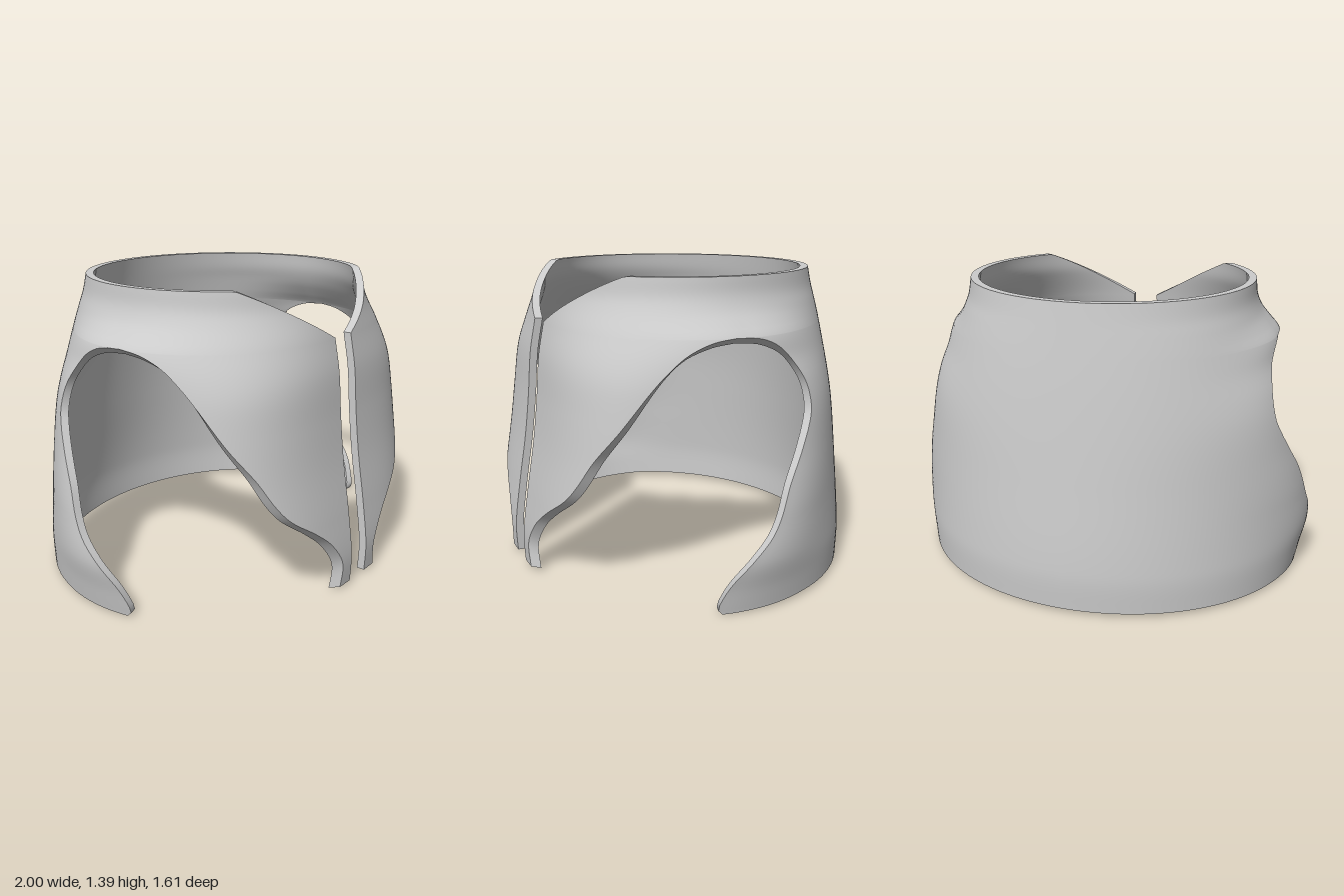
import * as THREE from 'three';
import { mergeGeometries, mergeVertices } from 'three/addons/utils/BufferGeometryUtils.js';

const THICK = 0.037, APEX = 1.15, TOP = 1.39;
const COLS = 40, ROWS = 56, UPPER = 16;

// Smooth curve through a table of [y, value]
function profile(table) {
  const slope = (i) => {
    const a = table[Math.max(i - 1, 0)], b = table[Math.min(i + 1, table.length - 1)];
    return (b[1] - a[1]) / (b[0] - a[0]);
  };
  return (y) => {
    let i = 0;
    while (i < table.length - 2 && y > table[i + 1][0]) i++;
    const [y0, v0] = table[i], [y1, v1] = table[i + 1], h = y1 - y0;
    const t = THREE.MathUtils.clamp((y - y0) / h, 0, 1), t2 = t * t, t3 = t2 * t;
    return v0 * (2 * t3 - 3 * t2 + 1) + v1 * (3 * t2 - 2 * t3)
      + h * (slope(i) * (t3 - 2 * t2 + t) + slope(i + 1) * (t3 - t2));
  };
}

// Horizontal sections by height: half width of the body, half width flared at the
// armhole, angle where that flare starts to fade, depth and roundness
const shoulder = [[1.05, 0.82], [1.15, 0.797], [1.19, 0.763], [1.245, 0.718], [1.31, 0.69], [1.39, 0.68]];
const frontShape = {
  width: profile([[0, 0.81], [0.6, 0.805], [0.9, 0.795], [1.05, 0.775], [1.15, 0.75], [1.25, 0.712], [1.31, 0.69], [1.39, 0.68]]),
  flare: profile([[0, 0.81], [0.6, 0.81], [0.9, 0.815], ...shoulder]),
  centre: () => Math.PI / 2 - 0.09,
  depth: profile([[0, 0.795], [0.15, 0.80], [0.35, 0.775], [0.6, 0.735], [0.8, 0.712], [1, 0.695], [1.15, 0.668], [1.27, 0.648], [1.39, 0.64]]),
  power: profile([[0, 3.2], [0.6, 3.2], [0.93, 2.95], [1.15, 2.4], [1.28, 2.08], [1.39, 2]]),
};
const backShape = {
  width: profile([[0, 0.945], [0.2, 0.945], [0.6, 0.89], [0.84, 0.845], [1.15, 0.75], [1.25, 0.715], [1.31, 0.692], [1.39, 0.68]]),
  flare: profile([[0, 0.952], [0.1, 0.972], [0.24, 1], [0.41, 0.98], [0.54, 0.955], [0.66, 0.928], [0.84, 0.892], [0.95, 0.86], ...shoulder]),
  centre: profile([[0, 1.45], [0.25, 1.48], [0.54, 1.68], [0.84, 1.85], [1, 1.78], [1.15, 1.6], [1.3, 1.5]]),
  depth: profile([[0, 0.80], [0.2, 0.805], [0.6, 0.765], [1, 0.717], [1.39, 0.66]]),
  power: profile([[0, 2], [0.3, 2], [0.8, 2.1], [1.15, 2.1], [1.39, 2]]),
};

// Point on the shell: angle 0 is the front, PI the back; depth 0 outside, 1 inside
function shellPoint(isFront, angle, y, depth, side) {
  const s = Math.max(Math.sin(angle), 0), c = Math.cos(angle);
  const shape = isFront || (c > 0 && y > 1.1) ? frontShape : backShape;
  const away = Math.max(0, (angle - shape.centre(y)) * (isFront ? -1 : 1));
  const w = THREE.MathUtils.lerp(shape.width(y), shape.flare(y), Math.exp(-((away / 0.42) ** 2)));
  const d = shape.depth(y), n = shape.power(y);
  const r = Math.pow(Math.pow(s / w, n) + Math.pow(Math.abs(c) / d, n), -1 / n);
  let x = s < 1e-6 ? 0 : r * s, z = r * c;
  const normal = new THREE.Vector2(Math.pow(x / w, n - 1) / w, Math.sign(z) * Math.pow(Math.abs(z) / d, n - 1) / d).normalize();
  x -= normal.x * THICK * depth;
  z -= normal.y * THICK * depth;
  const drop = 0.028 * depth * s * s * Math.exp(-(((y - APEX) / 0.08) ** 2));
  return new THREE.Vector3(side * x, y - drop, z);
}

// Side opening edges, bottom to top, as x, z, y
const edge = (pts) => new THREE.SplineCurve(
  pts.map(([x, z, y]) => new THREE.Vector2(Math.atan2(x, z), y))).getSpacedPoints(ROWS);
const frontEdge = edge([
  [0.15, 0.79, 0.015], [0.14, 0.80, 0.13], [0.215, 0.79, 0.245], [0.325, 0.775, 0.335], [0.455, 0.735, 0.425],
  [0.53, 0.70, 0.51], [0.60, 0.645, 0.635], [0.68, 0.56, 0.77], [0.74, 0.45, 0.93], [0.765, 0.37, 1.02],
  [0.785, 0.285, 1.09], [0.80, 0.18, 1.135], [0.80, 0.07, APEX]]);
const backEdge = edge([
  [0.95, 0.20, 0], [0.95, 0.22, 0.035], [0.985, 0.17, 0.15], [1, 0.085, 0.25], [0.99, 0, 0.335],
  [0.975, -0.05, 0.41], [0.94, -0.11, 0.54], [0.90, -0.19, 0.66], [0.855, -0.25, 0.765], [0.83, -0.275, 0.84],
  [0.81, -0.255, 0.95], [0.80, -0.17, 1.07], [0.80, -0.06, 1.135], [0.80, 0.07, APEX]]);
const gapAngle = (y) => Math.atan2(0.065, frontShape.depth(y));

// Neckline: level, dropping in a V towards the front slit
const neckHeight = (angle) => angle > Math.PI / 2 ? TOP
  : Math.min(TOP, 1.156 + Math.max(0, 0.665 * Math.sin(angle) - 0.065) / 0.43 * 0.234);

// Point at column i, row j of a panel; rows above ROWS reach the neck
function panelPoint(isFront, i, j, depth, side) {
  const u = i / COLS, row = Math.min(j, ROWS), e = (isFront ? frontEdge : backEdge)[row];
  // The rim of the front panels turns forward, so the inside reaches further round
  const reach = 0.045 * depth * (1 - (row / ROWS) ** 2);
  const angle = isFront ? THREE.MathUtils.lerp(gapAngle(e.y), e.x + reach, u) : THREE.MathUtils.lerp(e.x, Math.PI, u);
  let y = e.y;
  if (j > ROWS) y += (neckHeight(angle) - y) * (j - ROWS) / UPPER;
  else if (!isFront) y += 0.02 * (1 - j / ROWS) ** 6 * Math.min(1, u * 4);
  return shellPoint(isFront, angle, y, depth, side);
}

// Surface from a grid of points
function grid(nu, nv, point, flip) {
  const pos = [], index = [];
  for (let j = 0; j <= nv; j++)
    for (let i = 0; i <= nu; i++) pos.push(...point(i, j).toArray());
  for (let j = 0; j < nv; j++)
    for (let i = 0; i < nu; i++) {
      const a = j * (nu + 1) + i, b = a + 1, c = a + nu + 1, d = c + 1;
      index.push(...(flip ? [a, c, b, b, c, d] : [a, b, c, b, d, c]));
    }
  const g = new THREE.BufferGeometry();
  g.setAttribute('position', new THREE.Float32BufferAttribute(pos, 3));
  g.setIndex(index);
  return g;
}

export function createModel() {
  const group = new THREE.Group();
  const material = new THREE.MeshStandardMaterial({ color: 0xcccccc, side: THREE.DoubleSide });
  const add = (name, parts) => {
    const g = mergeVertices(mergeGeometries(parts), 1e-4);
    g.computeVertexNormals();
    const mesh = new THREE.Mesh(g, material);
    mesh.name = name;
    group.add(mesh);
  };
  const total = ROWS + UPPER;

  // Outer and inner skins, each joining front and back panels on both sides
  for (const depth of [0, 1]) {
    const parts = [];
    for (const side of [1, -1])
      for (const isFront of [true, false])
        parts.push(grid(COLS, total, (i, j) => panelPoint(isFront, i, j, depth, side), (side < 0) !== (depth === 1)));
    add(depth ? 'innerSkin' : 'outerSkin', parts);
  }

  // Rims closing the thickness along every edge
  const neck = [], hem = [];
  for (const side of [1, -1]) {
    const label = side > 0 ? 'left' : 'right', flip = side < 0;
    for (const isFront of [true, false]) {
      neck.push(grid(COLS, 1, (i, k) => panelPoint(isFront, i, total, k, side), flip));
      hem.push(grid(COLS, 1, (i, k) => panelPoint(isFront, i, 0, k, side), !flip));
    }
    add(label + 'ArmholeRim', [
      grid(ROWS, 1, (j, k) => panelPoint(true, COLS, j, k, side), !flip),
      grid(ROWS, 1, (j, k) => panelPoint(false, 0, j, k, side), flip)]);
    add(label + 'FrontSlitRim', [grid(total, 1, (j, k) => panelPoint(true, 0, j, k, side), flip)]);
  }
  add('neckRim', neck);
  add('hemRim', hem);
  return group;
}
